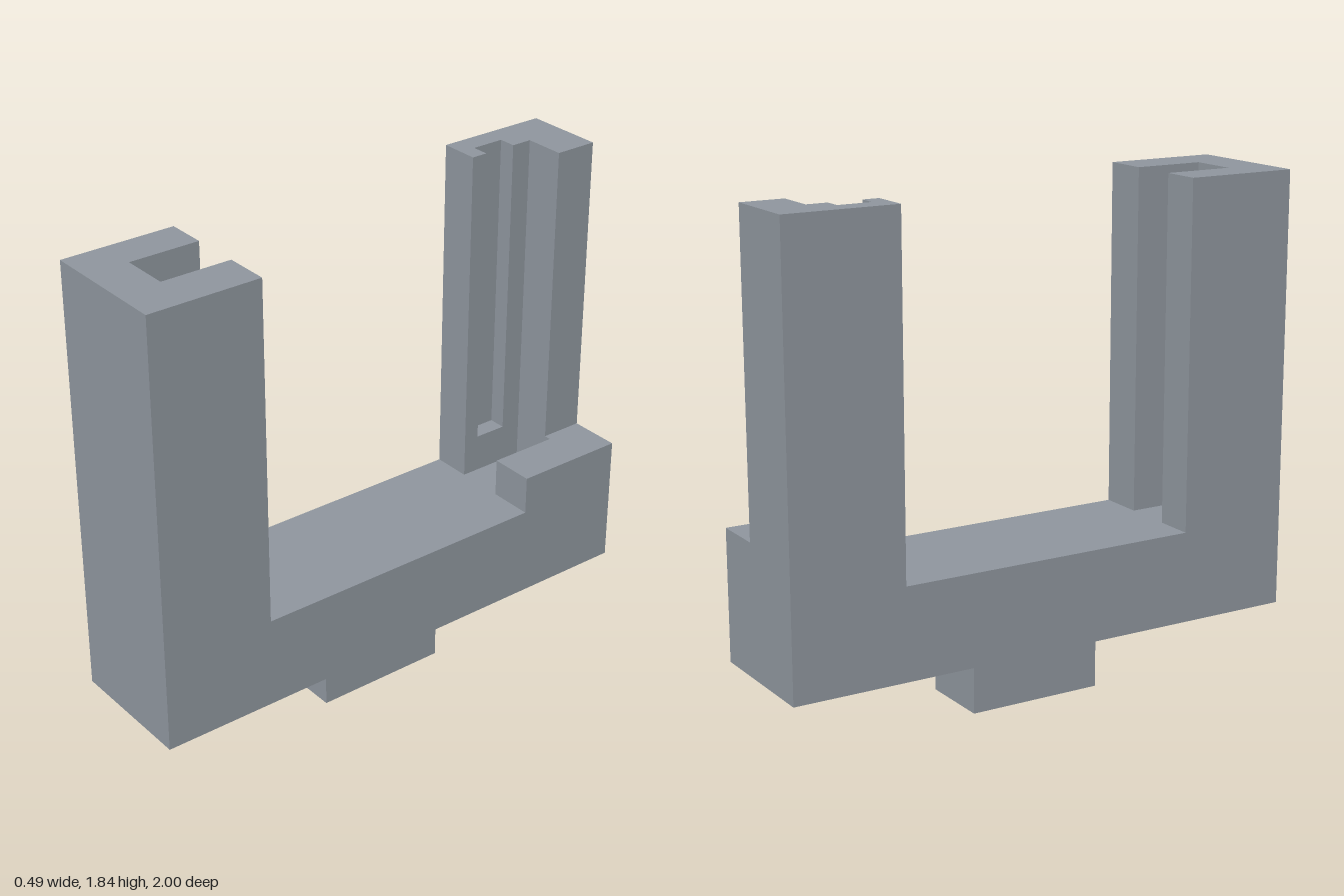
import * as THREE from 'three';

// Heights
const PEG_TOP = 0.215, BED_TOP = 0.556, LEDGE_TOP = 0.70, TOP = 1.837;
// Plan dimensions
const W = 0.247, END = 1, INNER = 0.574, SLOT_L = -0.10, SLOT_R = 0.08, SLOT_END = 0.838;

export function createModel() {
  const model = new THREE.Group();
  model.name = 'slottedBracket';
  const grey = new THREE.MeshStandardMaterial({ color: 0x8f969e });
  grey.name = 'grey';

  // Raises a plan outline of [x, z] points from y0 to y1
  function prism(name, outline, y0, y1) {
    const shape = new THREE.Shape(outline.map(([x, z]) => new THREE.Vector2(x, -z)));
    const geometry = new THREE.ExtrudeGeometry(shape, { depth: y1 - y0, bevelEnabled: false });
    geometry.rotateX(-Math.PI / 2).translate(0, y0, 0);
    const mesh = new THREE.Mesh(geometry, grey);
    mesh.name = name;
    model.add(mesh);
  }
  const rect = (x0, x1, z0, z1) => [[x0, z1], [x1, z1], [x1, z0], [x0, z0]];

  // U-shaped plan with the slot opening towards the middle; s is the end's z sign
  const channel = (s) => [
    [-W, s * END], [W, s * END], [W, s * INNER], [SLOT_R, s * INNER],
    [SLOT_R, s * SLOT_END], [SLOT_L, s * SLOT_END], [SLOT_L, s * INNER], [-W, s * INNER],
  ];

  // Mounting peg and horizontal bed
  prism('peg', rect(-0.146, 0.128, -0.255, 0.255), 0, PEG_TOP);
  prism('bed', rect(-W, W, -END, END), PEG_TOP, BED_TOP);

  // Front post, slotted over its full height
  prism('frontPost', channel(1), BED_TOP, TOP);

  // Back post: slotted foot, then a cut-away upper part with a side groove
  prism('backPostFoot', channel(-1), BED_TOP, LEDGE_TOP);
  prism('backPost', [
    [-W, -END], [0.053, -END], [0.053, -SLOT_END], [SLOT_L, -SLOT_END],
    [SLOT_L, -0.76], [-0.165, -0.76], [-0.165, -0.635], [SLOT_L, -0.635],
    [SLOT_L, -INNER], [-W, -INNER],
  ], LEDGE_TOP, TOP);

  return model;
}
